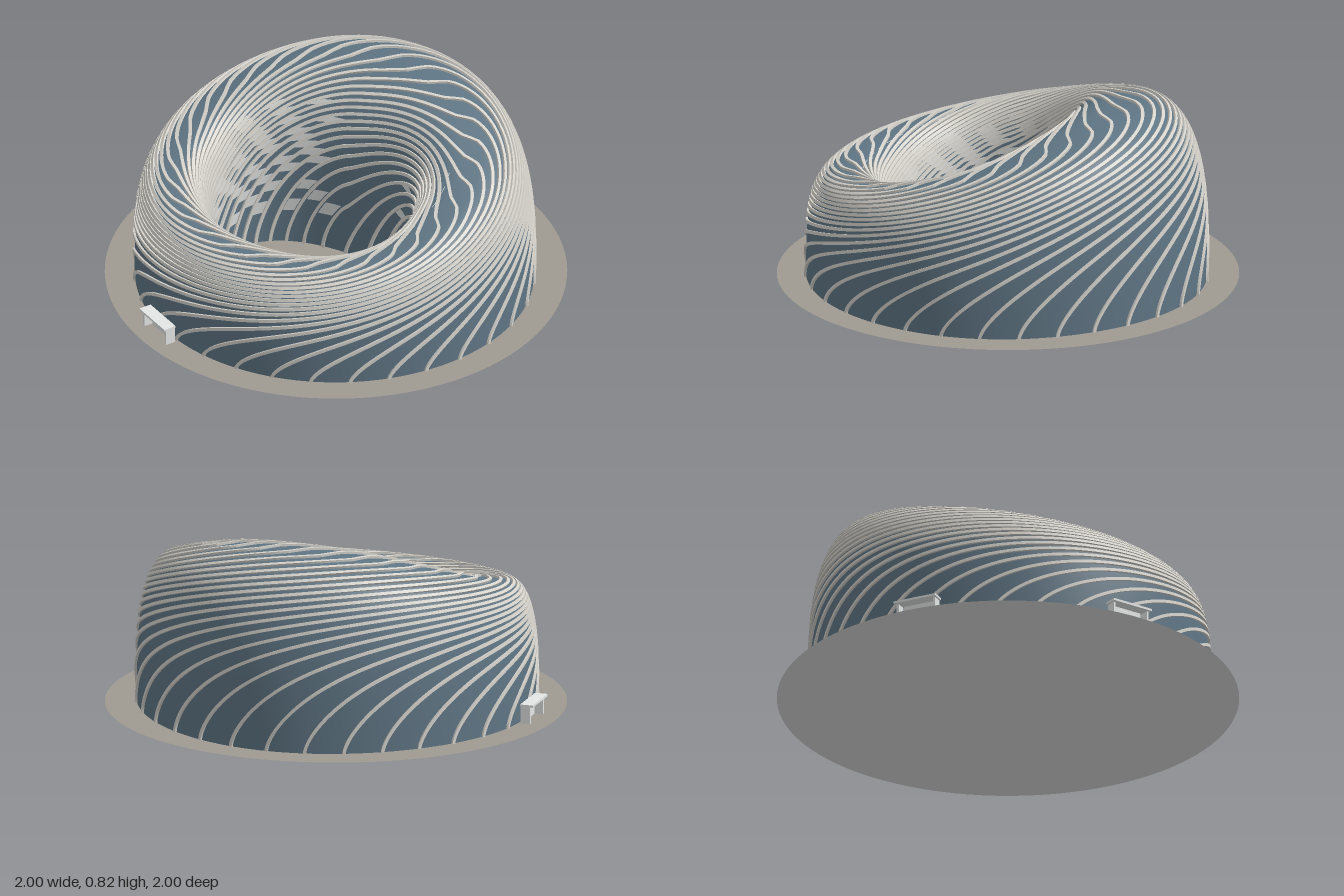
import * as THREE from 'three';
import { mergeGeometries, mergeVertices } from 'three/addons/utils/BufferGeometryUtils.js';

const mat = (name, color, side = THREE.FrontSide) => {
  const m = new THREE.MeshStandardMaterial({ color, side });
  m.name = name;
  return m;
};

const FINS = 32, GROUND = 0.003;
const spow = (a, p) => Math.sign(a) * Math.pow(Math.abs(a), p);
const ease = (t) => (1 - Math.cos(Math.PI * t)) / 2;

// Turn of a rib along the section: steeper at the feet and the crest
const twist = (v) => Math.PI * 2 * (v - 0.03 * Math.sin(4 * Math.PI * v));

// Ring-shaped shell: a is the angle from +z towards +x, v runs from outer foot over the crest to inner foot
function shell(a, v) {
  const s = Math.sin(a), c = Math.cos(a), ch = Math.cos(a + 0.06);
  const flat = c < 0 ? 1 - 0.06 * s * s * c * c : 1;
  const outer = new THREE.Vector2(0.868 * s * flat, 0.004 + 0.87 * c * flat);
  const inner = new THREE.Vector2(-0.032 + 0.443 * spow(s, 0.85), 0.178 + 0.322 * spow(c, 0.85));
  const height = 0.615 - 0.17 * ch + 0.035 * ch * ch;
  const w = THREE.MathUtils.clamp(v, 0, 1) * Math.PI;
  const p = outer.lerp(inner, 0.5 - 0.5 * spow(Math.cos(w), 0.65));
  const y = GROUND + (height - 0.012 - GROUND) * Math.pow(Math.max(Math.sin(w), 0), 0.65);
  return new THREE.Vector3(p.x, y, p.y);
}

// Outward unit normal of the shell
function shellNormal(a, v) {
  const e = 0.002, w = THREE.MathUtils.clamp(v, 0.004, 0.996);
  const da = shell(a + e, w).sub(shell(a - e, w));
  const dv = shell(a, w + e).sub(shell(a, w - e));
  return da.cross(dv).normalize();
}

// Surface through a grid of points, facing du x dv
function grid(fn, nu, nv) {
  const pos = [], idx = [];
  for (let i = 0; i <= nu; i++)
    for (let j = 0; j <= nv; j++) pos.push(...fn(i / nu, j / nv, j).toArray());
  for (let i = 0; i < nu; i++)
    for (let j = 0; j < nv; j++) {
      const a = i * (nv + 1) + j, b = a + nv + 1;
      idx.push(a, b, b + 1, a, b + 1, a + 1);
    }
  const g = new THREE.BufferGeometry();
  g.setAttribute('position', new THREE.Float32BufferAttribute(pos, 3));
  g.setIndex(idx);
  return g;
}

// One raised rib that spirals over the shell
function fin(start) {
  const half = 0.007, at = (v) => shell(start + twist(v), v);
  const section = [[-half, -0.004], [-half, 0.01], [half, 0.01], [half, -0.004]];
  const g = grid((t, _, j) => {
    const v = ease(t), w = THREE.MathUtils.clamp(v, 0.001, 0.999);
    const n = shellNormal(start + twist(v), v);
    const along = at(w + 0.001).sub(at(w - 0.001)).normalize();
    const across = n.clone().cross(along).normalize();
    const p = at(v).addScaledVector(across, section[j][0]).addScaledVector(n, section[j][1]);
    p.y = Math.max(p.y, GROUND);
    return p;
  }, 150, 3).toNonIndexed();
  g.computeVertexNormals();
  return g;
}

// Patch lying just above the shell, between two angles and two section values
const patch = (a0, a1, v0, v1, turn) => grid((s, t) => {
  const v = v0 + (v1 - v0) * t;
  const a = a0 + (a1 - a0) * s + turn * twist(v);
  return shell(a, v).addScaledVector(shellNormal(a, v), 0.005);
}, 4, 3);

// Pale panels between the ribs on the courtyard wall, and a dashed strip below the crest
function courtyardPanels() {
  let seed = 7;
  const rand = () => (seed = (seed * 16807) % 2147483647) / 2147483647;
  const parts = [], rows = 16, v0 = 0.68, dv = 0.29 / rows, da = (Math.PI * 2) / FINS;
  for (let i = 0; i < FINS; i++)
    for (let j = 0; j < rows; j++) {
      const v = v0 + j * dv;
      const mid = (i + 0.5) * da + twist(v + dv / 2);
      const chance = Math.cos(mid - 5.3) > -0.4 ? 0.75 : 0.08;
      if ((i + j) % 2 || rand() > chance) continue;
      parts.push(patch((i + 0.15) * da, (i + 0.85) * da, v, v + dv, 1));
    }
  for (let a = -1; a < 1.9; a += 0.14) parts.push(patch(a, a + 0.07, 0.555, 0.559, 0));
  const g = mergeGeometries(parts);
  g.computeVertexNormals();
  return g;
}

function box(name, w, h, d, x, y, z, material) {
  const m = new THREE.Mesh(new THREE.BoxGeometry(w, h, d), material);
  m.name = name;
  m.position.set(x, y, z);
  return m;
}

// Small entrance porch: roof slab, two side walls and a door
function porch(angle, radius, material) {
  const g = new THREE.Group();
  g.name = 'entrancePorch';
  g.add(box('porchRoof', 0.2, 0.01, 0.058, 0, 0.085, 0, material));
  for (const s of [-1, 1])
    g.add(box('porchSideWall', 0.01, 0.078, 0.045, s * 0.087, 0.041, -0.008, material));
  g.add(box('porchDoor', 0.15, 0.076, 0.008, 0, 0.042, -0.026, material));
  g.position.set(Math.sin(angle) * radius, 0, Math.cos(angle) * radius);
  g.rotation.y = angle;
  return g;
}

export function createModel() {
  const model = new THREE.Group();
  model.name = 'ringBuilding';
  const glass = mat('blueGlass', 0x5f7584, THREE.DoubleSide);
  const rib = mat('paleRib', 0xd6d3cc, THREE.DoubleSide);
  const paving = mat('paving', 0xa09b91);
  const concrete = mat('paleConcrete', 0xd9dcd9);
  const panel = mat('palePanel', 0xd6d8d7, THREE.DoubleSide);
  const porchWhite = mat('porchWhite', 0xe4e6e6);
  const add = (name, geometry, material) => {
    const m = new THREE.Mesh(geometry, material);
    m.name = name;
    model.add(m);
    return m;
  };

  // Round plaza: paved top and pale underside
  const disc = new THREE.CircleGeometry(1, 96);
  const top = add('plazaPaving', disc, paving);
  top.rotation.x = -Math.PI / 2;
  top.position.y = GROUND;
  add('plazaUnderside', disc, concrete).rotation.x = Math.PI / 2;

  // Glass skin, welded at the seam for smooth shading
  const skin = mergeVertices(grid((u, t) => shell(u * Math.PI * 2, ease(t)), 144, 72), 1e-5);
  skin.computeVertexNormals();
  add('glassShell', skin, glass);

  // Spiral ribs
  const ribs = [];
  for (let i = 0; i < FINS; i++) ribs.push(fin((i / FINS) * Math.PI * 2));
  add('spiralRibs', mergeGeometries(ribs), rib);

  add('courtyardPanels', courtyardPanels(), panel);

  // Entrances
  model.add(porch(-0.485, 0.917, porchWhite));
  model.add(porch(-1.543, 0.903, porchWhite));
  return model;
}
